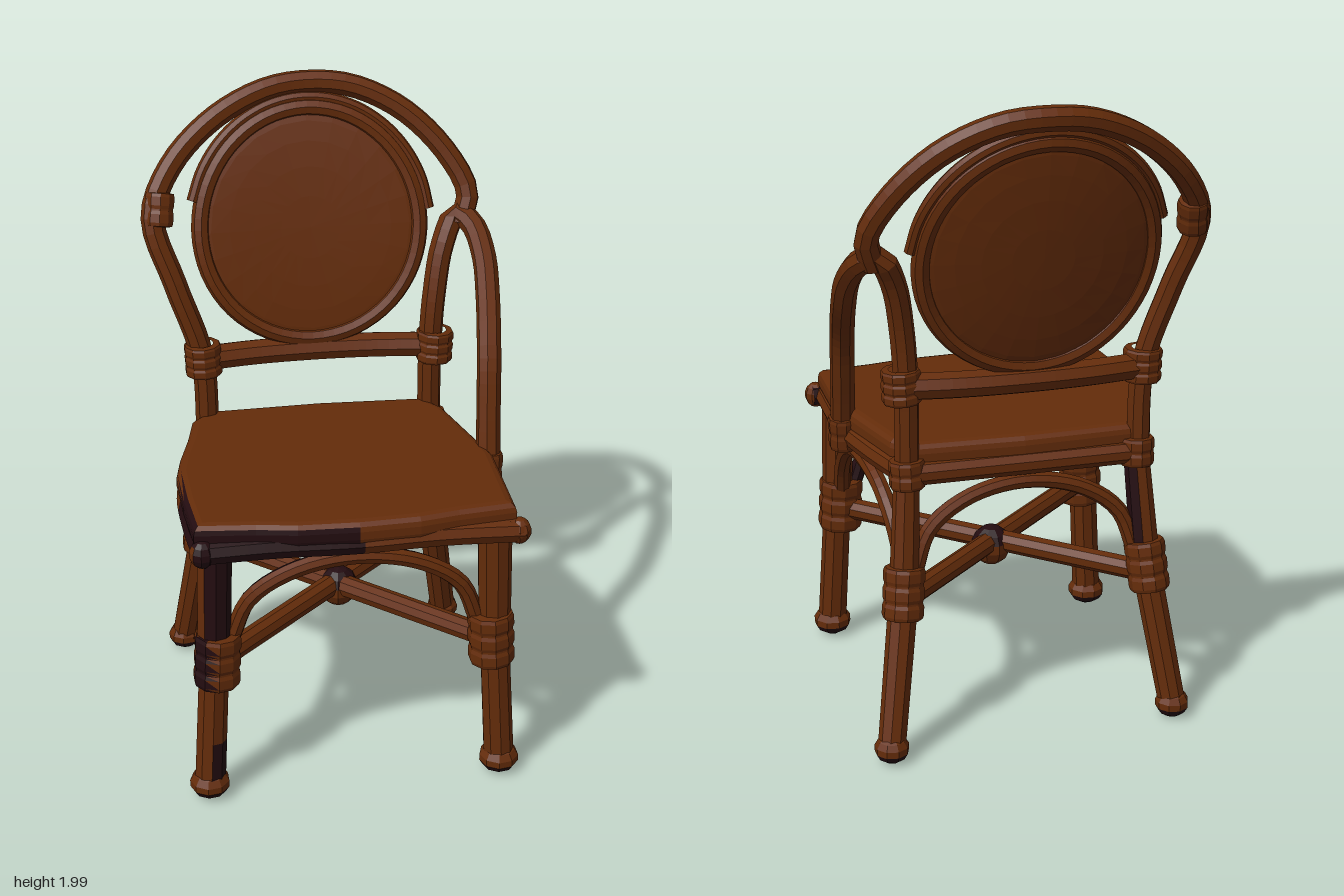
import * as THREE from 'three';

const cane = new THREE.MeshStandardMaterial({ color: 0x642c0a, flatShading: true });
cane.name = 'brown cane';
const worn = new THREE.MeshStandardMaterial({ color: 0x230c10, flatShading: true, side: THREE.DoubleSide });
worn.name = 'dark worn cane';

const V = (p) => new THREE.Vector3(...p);

// Darkens the faces whose centre c and normal n pass the rule
function stain(mesh, rule) {
  mesh.updateMatrix();
  const source = mesh.geometry.index ? mesh.geometry.toNonIndexed() : mesh.geometry;
  const geometry = source.applyMatrix4(mesh.matrix);
  mesh.position.set(0, 0, 0);
  mesh.quaternion.identity();
  mesh.scale.set(1, 1, 1);
  geometry.clearGroups();
  const tri = new THREE.Triangle(), c = new THREE.Vector3(), n = new THREE.Vector3();
  for (let i = 0; i < geometry.attributes.position.count; i += 3) {
    tri.setFromAttributeAndIndices(geometry.attributes.position, i, i + 1, i + 2);
    tri.getMidpoint(c);
    tri.getNormal(n);
    geometry.addGroup(i, 3, rule(c, n) ? 1 : 0);
  }
  mesh.geometry = geometry;
  mesh.material = [cane, worn];
}

export function createModel() {
  const group = new THREE.Group();
  const add = (name, geometry, material = cane) => {
    const mesh = new THREE.Mesh(geometry, material);
    mesh.name = name;
    group.add(mesh);
    return mesh;
  };
  // Bent cane through a few points
  const bend = (name, pts, r, closed = false) =>
    add(name, new THREE.TubeGeometry(new THREE.CatmullRomCurve3(pts.map(V), closed), pts.length * 4, r, 8, closed));
  // Straight tapered rod between two points
  const rod = (name, a, b, ra, rb = ra) => {
    const d = V(b).sub(V(a));
    const mesh = add(name, new THREE.CylinderGeometry(rb, ra, d.length(), 9, 8));
    mesh.position.copy(V(a)).addScaledVector(d, 0.5);
    mesh.quaternion.setFromUnitVectors(new THREE.Vector3(0, 1, 0), d.normalize());
    return mesh;
  };
  const knob = (name, p, rx, ry = rx) => {
    const mesh = add(name, new THREE.SphereGeometry(1, 9, 7));
    mesh.position.copy(V(p));
    mesh.scale.set(rx, ry, rx);
    return mesh;
  };
  // Binding: a ridged sleeve wound round a joint
  const wrap = (name, a, b, r, turns = 3) => {
    const len = V(a).distanceTo(V(b)), h = len / turns;
    const profile = [[r * 0.6, -len / 2]];
    for (let i = 0; i < turns; i++) {
      const y0 = -len / 2 + h * i;
      profile.push([r * 0.94, y0 + h * 0.05], [r, y0 + h * 0.25], [r, y0 + h * 0.75], [r * 0.94, y0 + h * 0.95]);
    }
    profile.push([r * 0.6, len / 2]);
    const mesh = add(name, new THREE.LatheGeometry(profile.map((p) => new THREE.Vector2(...p)), 10));
    mesh.position.copy(V(a)).lerp(V(b), 0.5);
    mesh.quaternion.setFromUnitVectors(new THREE.Vector3(0, 1, 0), V(b).sub(V(a)).normalize());
    return mesh;
  };

  // Seat cushion with a rounded edge
  const outline = [[-0.35, -0.275], [-0.405, -0.22], [-0.43, -0.1], [-0.465, 0.03], [-0.482, 0.12], [-0.478, 0.3],
    [-0.465, 0.47], [-0.3, 0.488], [-0.18, 0.51], [0, 0.518], [0.18, 0.51], [0.3, 0.488], [0.46, 0.47], [0.465, 0.14],
    [0.42, -0.04], [0.38, -0.2], [0.33, -0.27], [0, -0.285]];
  const toVector2 = ([x, z]) => new THREE.Vector2(x, z);
  const seatGeometry = new THREE.ExtrudeGeometry(new THREE.Shape(outline.map(toVector2)), {
    depth: 0.025, bevelThickness: 0.03, bevelSize: 0.03, bevelOffset: -0.012, bevelSegments: 3,
  });
  seatGeometry.rotateX(Math.PI / 2).translate(0, 0.925, 0);
  stain(add('seat', seatGeometry), (c, n) => n.y > -0.8
    && ((n.z > 0.3 && c.x < 0 && n.y < 0.3) || (n.x < -0.3 && c.z > 0.2 && n.y < 0.85)));
  // Dark border on the underside of the seat
  const border = new THREE.Shape(outline.map(toVector2));
  border.holes.push(new THREE.Path().absellipse(0, 0.08, 0.34, 0.27, 0, Math.PI * 2, true));
  add('seatUnderside', new THREE.ShapeGeometry(border, 8).rotateX(Math.PI / 2).translate(0, 0.867, 0), worn);

  // Rails under the seat edge
  const ry = 0.865;
  stain(bend('frontRail', [[-0.47, ry, 0.48], [-0.25, ry + 0.01, 0.49], [0, ry + 0.01, 0.5],
    [0.25, ry + 0.01, 0.49], [0.5, ry, 0.485]], 0.038), (c, n) => c.x < 0.02 || (c.x < 0.3 && n.y < -0.5) || n.z < -0.2);
  stain(bend('rightRail', [[-0.452, ry, 0.5], [-0.465, ry, 0.34], [-0.465, ry, 0.12], [-0.42, ry, -0.1],
    [-0.365, ry, -0.29]], 0.036), (c, n) => c.z > 0.2 || n.x > 0.4);
  bend('leftRail', [[0.455, ry, 0.5], [0.455, ry, 0.14], [0.42, ry, -0.06], [0.36, ry, -0.29]], 0.037);
  rod('backRail', [-0.37, ry, -0.285], [0.37, ry, -0.285], 0.037);
  stain(knob('railEndRight', [-0.458, ry, 0.485], 0.04, 0.045), (c, n) => n.x > -0.8);
  knob('railEndLeft', [0.487, ry, 0.487], 0.036, 0.042);

  for (const s of [-1, 1]) {
    const side = s < 0 ? 'right' : 'left';
    // Front leg
    const fFoot = [s * 0.455, 0.04, 0.473], fMid = [s * 0.43, 0.49, 0.455], fTop = [s * 0.42, 0.87, 0.45];
    const lower = rod(side + 'FrontLegLower', fFoot, fMid, 0.048, 0.046);
    const upper = rod(side + 'FrontLegUpper', fMid, fTop, 0.05, 0.053);
    const binding = wrap(side + 'FrontLegBinding', [s * 0.424, 0.4, 0.457], [s * 0.416, 0.575, 0.453], 0.072);
    const frontFoot = knob(side + 'FrontFoot', [s * 0.455, 0.052, 0.473], 0.063, 0.048);

    // Splayed rear leg
    const bFoot = s < 0 ? [-0.455, 0.05, -0.4] : [0.46, 0.05, -0.448];
    const bMid = [s * 0.385, 0.5, -0.32], bTop = [s * 0.36, 0.87, -0.275];
    rod(side + 'RearLegLower', bFoot, bMid, 0.043, 0.046);
    const rearUpper = rod(side + 'RearLegUpper', bMid, bTop, 0.046, 0.04);
    wrap(side + 'RearLegBinding', [s * 0.395, 0.42, -0.337], [s * 0.38, 0.58, -0.31], 0.064);
    const rearFoot = knob(side + 'RearFoot', bFoot, 0.054, 0.046);
    for (const foot of [frontFoot, rearFoot]) stain(foot, (c, n) => n.y < -0.4);
    wrap(side + 'SeatJointBinding', [s * 0.36, 0.82, -0.28], [s * 0.362, 0.91, -0.275], 0.055, 2);

    // Bent brace under the side of the seat
    const brace = bend(side + 'SideBrace', [[s * 0.42, 0.54, 0.42], [s * 0.43, 0.66, 0.35], [s * 0.435, 0.77, 0.22],
      [s * 0.43, 0.81, 0.05], [s * 0.41, 0.77, -0.13], [s * 0.39, 0.66, -0.25], [s * 0.38, 0.54, -0.3]], 0.027);
    // Binding where the lower back rail meets the post
    wrap(side + 'PostBinding', [s * 0.372, 1.09, -0.275], [s * 0.376, 1.195, -0.275], 0.06);

    // Worn patches, different on each side
    if (s < 0) {
      stain(lower, (c, n) => c.y < 0.22 && n.z > 0 && n.x > -0.2);
      stain(upper, (c, n) => n.x > -0.75);
      stain(binding, (c) => c.z > 0.46 && c.x < -0.445);
      stain(brace, (c, n) => n.x > 0.2);
      stain(rearUpper, (c, n) => c.y > 0.56 && n.x > 0.4);
    } else {
      stain(rearUpper, (c, n) => c.y > 0.58 && n.z > 0.2 && n.x < 0.1);
    }
  }

  // Bent braces across the front and back
  const crossBrace = (name, w, zLow, zTop) => bend(name, [-1, -0.85, -0.5, 0, 0.5, 0.85, 1].map((t) => {
    const lift = Math.sqrt(1 - t * t);
    return [t * w, 0.55 + 0.255 * lift, zLow + (zTop - zLow) * lift];
  }), 0.026);
  stain(crossBrace('frontBrace', 0.375, 0.45, 0.46), (c, n) => n.z < -0.2);
  stain(crossBrace('backBrace', 0.35, -0.31, -0.28), (c, n) => c.x > 0.24 && n.z > 0.2);

  // Crossed stretchers with a central knot
  for (const s of [-1, 1]) rod('stretcher', [s * 0.42, 0.475, 0.45], [-s * 0.385, 0.475, -0.32], 0.035);
  stain(knob('stretcherKnot', [0.012, 0.46, 0.042], 0.064, 0.066), (c) => c.y > 0.47);

  // Back hoop: post and arch, ending on the arm
  bend('backHoop', [[-0.365, 0.85, -0.275], [-0.377, 1.15, -0.278], [-0.452, 1.39, -0.3], [-0.512, 1.6, -0.35],
    [-0.445, 1.745, -0.41], [-0.305, 1.873, -0.46], [-0.14, 1.947, -0.495], [0, 1.963, -0.507], [0.14, 1.947, -0.495],
    [0.295, 1.873, -0.46], [0.425, 1.745, -0.41], [0.488, 1.62, -0.365], [0.46, 1.53, -0.335]], 0.037);
  wrap('hoopBinding', [-0.497, 1.57, -0.34], [-0.485, 1.67, -0.375], 0.048, 2);
  bend('lowerBackRail', [[-0.38, 1.14, -0.28], [-0.2, 1.14, -0.305], [0, 1.14, -0.313], [0.2, 1.14, -0.305],
    [0.38, 1.14, -0.28]], 0.042);

  // Left post turning over into the single arm
  bend('arm', [[0.36, 0.85, -0.275], [0.36, 1.15, -0.275], [0.372, 1.32, -0.285], [0.402, 1.47, -0.318],
    [0.452, 1.56, -0.35], [0.495, 1.535, -0.305], [0.515, 1.46, -0.22], [0.512, 1.37, -0.14], [0.492, 1.22, -0.005],
    [0.482, 1.05, 0.057], [0.475, 0.85, 0.11]], 0.038);
  wrap('armBinding', [0.472, 0.82, 0.105], [0.477, 0.93, 0.09], 0.048, 2);

  // Oval back panel, leaning back and gently curved
  const backZ = (x, y) => -0.305 - 0.24 * (y - 1.17) + 0.22 * x * x;
  const panel = new THREE.SphereGeometry(1, 24, 12).rotateX(Math.PI / 2);
  const pos = panel.attributes.position;
  for (let i = 0; i < pos.count; i++) {
    const x = pos.getX(i) * 0.365 - 0.015, y = pos.getY(i) * 0.37 + 1.535;
    pos.setXYZ(i, x, y, backZ(x, y) + pos.getZ(i) * 0.036);
  }
  add('backPanel', panel);
  const arc = (rx, yr, from, to, n) => Array.from({ length: n }, (_, i) => {
    const a = from + ((to - from) * i) / n, x = Math.cos(a) * rx - 0.015, y = 1.535 + Math.sin(a) * yr;
    return [x, y, backZ(x, y)];
  });
  bend('panelRim', arc(0.348, 0.355, 0, Math.PI * 2, 16), 0.029, true);
  // Thin inner hoop between the panel and the outer hoop
  bend('innerHoop', arc(0.38, 0.385, 0.1, Math.PI, 12), 0.02);
  return group;
}
